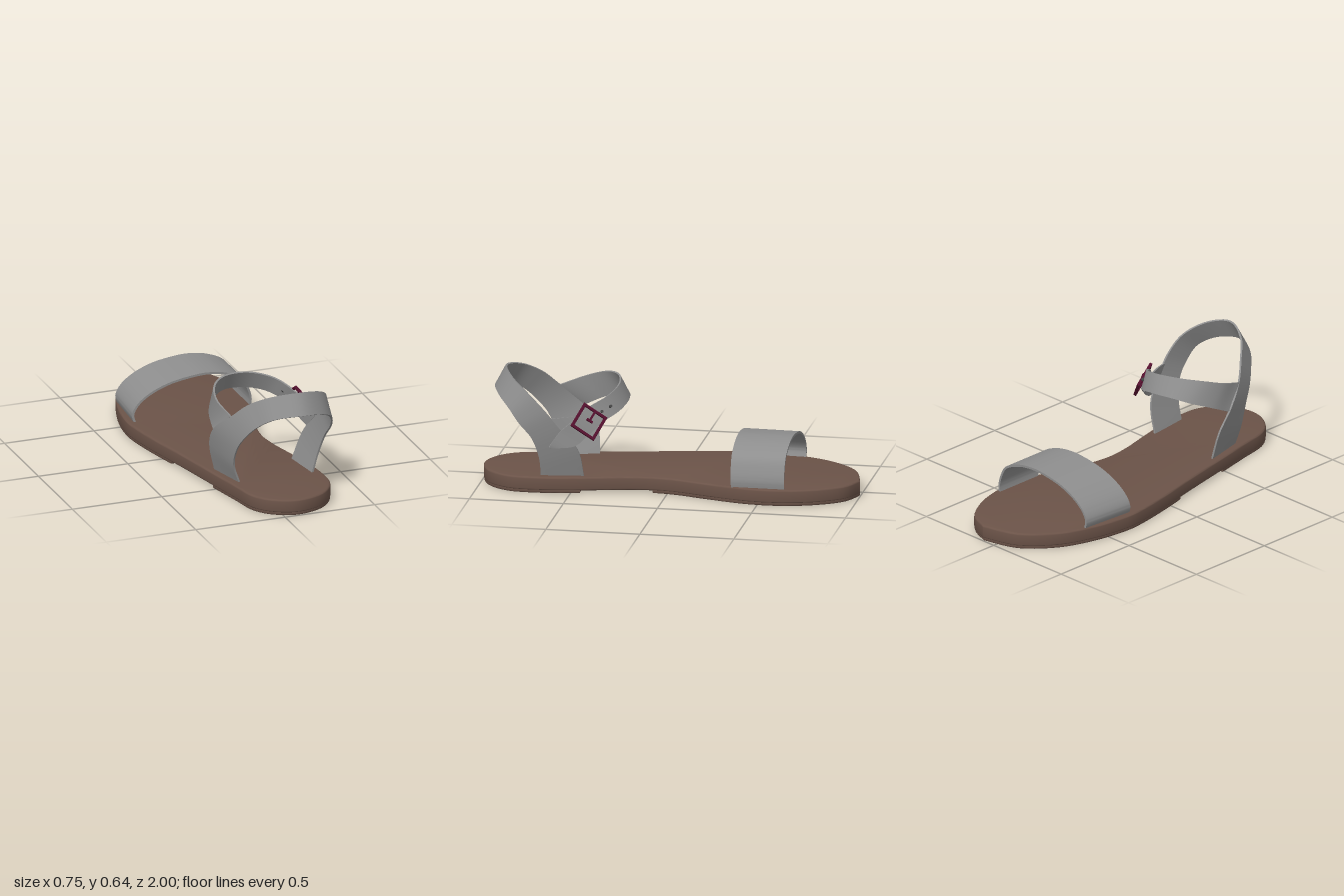
import * as THREE from 'three';
import { toCreasedNormals } from 'three/addons/utils/BufferGeometryUtils.js';

const material = (name, color, side = THREE.FrontSide) => {
  const m = new THREE.MeshStandardMaterial({ color, side });
  m.name = name;
  return m;
};

const curve = pts => new THREE.CatmullRomCurve3(pts.map(p => new THREE.Vector3(...p)));

// Solid band stretched between two edge curves with matching stations
function ribbon(edgeA, edgeB, thick = 0.01, steps = 72) {
  const ca = curve(edgeA), cb = curve(edgeB), rings = [], pos = [];
  for (let i = 0; i <= steps; i++) {
    const t = i / steps, t0 = Math.max(0, t - 0.01), t1 = Math.min(1, t + 0.01);
    const a = ca.getPoint(t), b = cb.getPoint(t);
    const along = ca.getPoint(t1).add(cb.getPoint(t1)).sub(ca.getPoint(t0)).sub(cb.getPoint(t0));
    const n = along.cross(a.clone().sub(b)).normalize().multiplyScalar(thick / 2);
    rings.push([a.clone().add(n), b.clone().add(n), b.clone().sub(n), a.clone().sub(n)]);
  }
  const quad = (...q) => [0, 1, 2, 0, 2, 3].forEach(k => pos.push(q[k].x, q[k].y, q[k].z));
  for (let i = 0; i < steps; i++) {
    const r = rings[i], s = rings[i + 1];
    for (let k = 0; k < 4; k++) {
      const m = (k + 1) % 4;
      quad(r[k], r[m], s[m], s[k]);
    }
  }
  quad(...rings[0].slice().reverse());
  quad(...rings[steps]);
  const g = new THREE.BufferGeometry();
  g.setAttribute('position', new THREE.Float32BufferAttribute(pos, 3));
  return toCreasedNormals(g, 0.6);
}

// Flat slab from plan points (x, z), rounded at its rims
function slab(points, bottom, top, bevel, inset) {
  const g = new THREE.ExtrudeGeometry(new THREE.Shape(points), {
    depth: top - bottom - 2 * bevel, bevelEnabled: true, bevelThickness: bevel,
    bevelSize: bevel, bevelOffset: -bevel - inset, bevelSegments: 3,
  });
  g.rotateX(Math.PI / 2).translate(0, top - bevel, 0);
  return toCreasedNormals(g, 0.6);
}

export function createModel() {
  const model = new THREE.Group();
  model.name = 'sandal';
  const brown = material('sole brown', 0x6b5348);
  const grey = material('strap grey', 0x8e8e8e);
  const maroon = material('buckle maroon', 0x55102e);
  const dark = material('hole dark grey', 0x454545, THREE.DoubleSide);
  const add = (name, geometry, mat, parent = model) => {
    const mesh = new THREE.Mesh(geometry, mat);
    mesh.name = name;
    parent.add(mesh);
    return mesh;
  };

  // Sole outline in plan, toe first
  const plan = [
    [0.08, -1], [0.21, -0.935], [0.305, -0.78], [0.348, -0.6], [0.34, -0.42], [0.29, -0.22],
    [0.24, -0.05], [0.225, 0.08], [0.24, 0.21], [0.27, 0.34], [0.31, 0.52], [0.33, 0.68],
    [0.318, 0.83], [0.23, 0.95], [0.08, 0.998], [-0.05, 0.95], [-0.13, 0.85], [-0.165, 0.69],
    [-0.21, 0.48], [-0.27, 0.19], [-0.325, -0.05], [-0.36, -0.24], [-0.37, -0.38],
    [-0.34, -0.58], [-0.265, -0.78], [-0.12, -0.94],
  ].map(p => new THREE.Vector2(...p));
  const spline = new THREE.SplineCurve([...plan, plan[0]]);
  const outline = spline.getPoints(130).slice(0, -1);
  add('sole', slab(outline, 0.014, 0.087, 0.01, 0), brown);
  // Front and heel treads leave the arch raised
  add('frontTread', slab(outline.filter(p => p.y < 0.09), 0, 0.035, 0.008, 0.002), brown);
  add('heelTread', slab(outline.filter(p => p.y > 0.43), 0, 0.035, 0.008, 0.002), brown);

  // Toe strap, from its left foot over to its right foot
  const arch = [[-0.33, 0.075], [-0.342, 0.125], [-0.315, 0.175], [-0.25, 0.225], [-0.14, 0.27],
    [0, 0.294], [0.08, 0.297], [0.18, 0.281], [0.275, 0.235], [0.31, 0.17], [0.322, 0.12], [0.318, 0.075]];
  add('toeStrap', ribbon(
    arch.map(([x, y]) => [x < 0 ? x * 0.94 : x, y, -0.64]),
    arch.map(([x, y], i) => [x, y, -0.337 - 0.002 * i]), 0.012), grey);

  // Heel strap: rises from both sides and sweeps behind the heel
  add('heelStrap', ribbon([
    [-0.175, 0.075, 0.43], [-0.212, 0.24, 0.45], [-0.217, 0.36, 0.53], [-0.165, 0.455, 0.64],
    [-0.1, 0.54, 0.72], [-0.01, 0.603, 0.81], [0.13, 0.633, 0.87], [0.25, 0.605, 0.82],
    [0.33, 0.54, 0.72], [0.348, 0.46, 0.635], [0.34, 0.37, 0.56], [0.305, 0.24, 0.46], [0.25, 0.075, 0.435],
  ], [
    [-0.12, 0.075, 0.65], [-0.157, 0.19, 0.66], [-0.15, 0.3, 0.7], [-0.12, 0.385, 0.76],
    [-0.08, 0.445, 0.81], [-0.01, 0.5, 0.875], [0.12, 0.523, 0.928], [0.25, 0.5, 0.885],
    [0.325, 0.45, 0.82], [0.345, 0.38, 0.765], [0.335, 0.3, 0.7], [0.31, 0.19, 0.665], [0.28, 0.075, 0.66],
  ]), grey);

  // Ankle strap: left fork, across the front, through the buckle to a pointed tail
  add('ankleStrap', ribbon([
    [-0.165, 0.455, 0.64], [-0.195, 0.505, 0.5], [-0.165, 0.54, 0.395], [-0.095, 0.553, 0.325],
    [0, 0.55, 0.29], [0.1, 0.535, 0.288], [0.2, 0.505, 0.33], [0.27, 0.46, 0.415],
    [0.332, 0.395, 0.49], [0.352, 0.34, 0.55], [0.372, 0.267, 0.6],
  ], [
    [-0.215, 0.34, 0.52], [-0.197, 0.395, 0.405], [-0.14, 0.435, 0.305], [-0.07, 0.453, 0.258],
    [0, 0.452, 0.243], [0.08, 0.443, 0.243], [0.17, 0.42, 0.27], [0.24, 0.385, 0.33],
    [0.305, 0.317, 0.41], [0.335, 0.268, 0.47], [0.368, 0.258, 0.595],
  ]), grey);

  // Short strap tying the buckle to the side of the heel strap
  add('buckleStrap', ribbon(
    [[0.344, 0.41, 0.6], [0.325, 0.415, 0.54], [0.285, 0.42, 0.445]],
    [[0.32, 0.28, 0.49], [0.3, 0.305, 0.44], [0.27, 0.345, 0.375]], 0.008, 16), grey);

  // Buckle, laid against the right side of the ankle strap
  const buckle = new THREE.Group();
  buckle.name = 'buckle';
  const along = new THREE.Vector3(0.57, -0.71, 0.39).normalize();
  const out = new THREE.Vector3(0.14, 0.57, 0.81).cross(along).normalize();
  const across = out.clone().cross(along.clone().negate());
  buckle.applyMatrix4(new THREE.Matrix4().makeBasis(along.clone().negate(), across, out));
  buckle.position.set(0.3, 0.393, 0.403);
  model.add(buckle);
  const square = (Type, h) => new Type([[-h, -h], [h, -h], [h, h], [-h, h]].map(p => new THREE.Vector2(...p)));
  const frame = square(THREE.Shape, 0.073);
  frame.holes.push(square(THREE.Path, 0.058));
  const frameGeometry = new THREE.ExtrudeGeometry(frame, {
    depth: 0.01, bevelThickness: 0.003, bevelSize: 0.003, bevelOffset: -0.003, bevelSegments: 2,
  });
  add('buckleFrame', frameGeometry, maroon, buckle);
  add('bucklePin', new THREE.BoxGeometry(0.06, 0.01, 0.01), maroon, buckle).position.set(0.035, 0, 0.012);
  add('pinHinge', new THREE.BoxGeometry(0.012, 0.035, 0.012), maroon, buckle).position.set(0.005, 0, 0.011);

  // Strap holes
  [[0.207, 0.457, 0.304], [0.238, 0.435, 0.345]].forEach(([x, y, z]) => {
    const hole = add('strapHole', new THREE.CylinderGeometry(0.008, 0.008, 0.018, 8).rotateX(Math.PI / 2), dark);
    hole.position.set(x, y, z);
    hole.lookAt(x + out.x, y + out.y, z + out.z);
  });

  return model;
}
